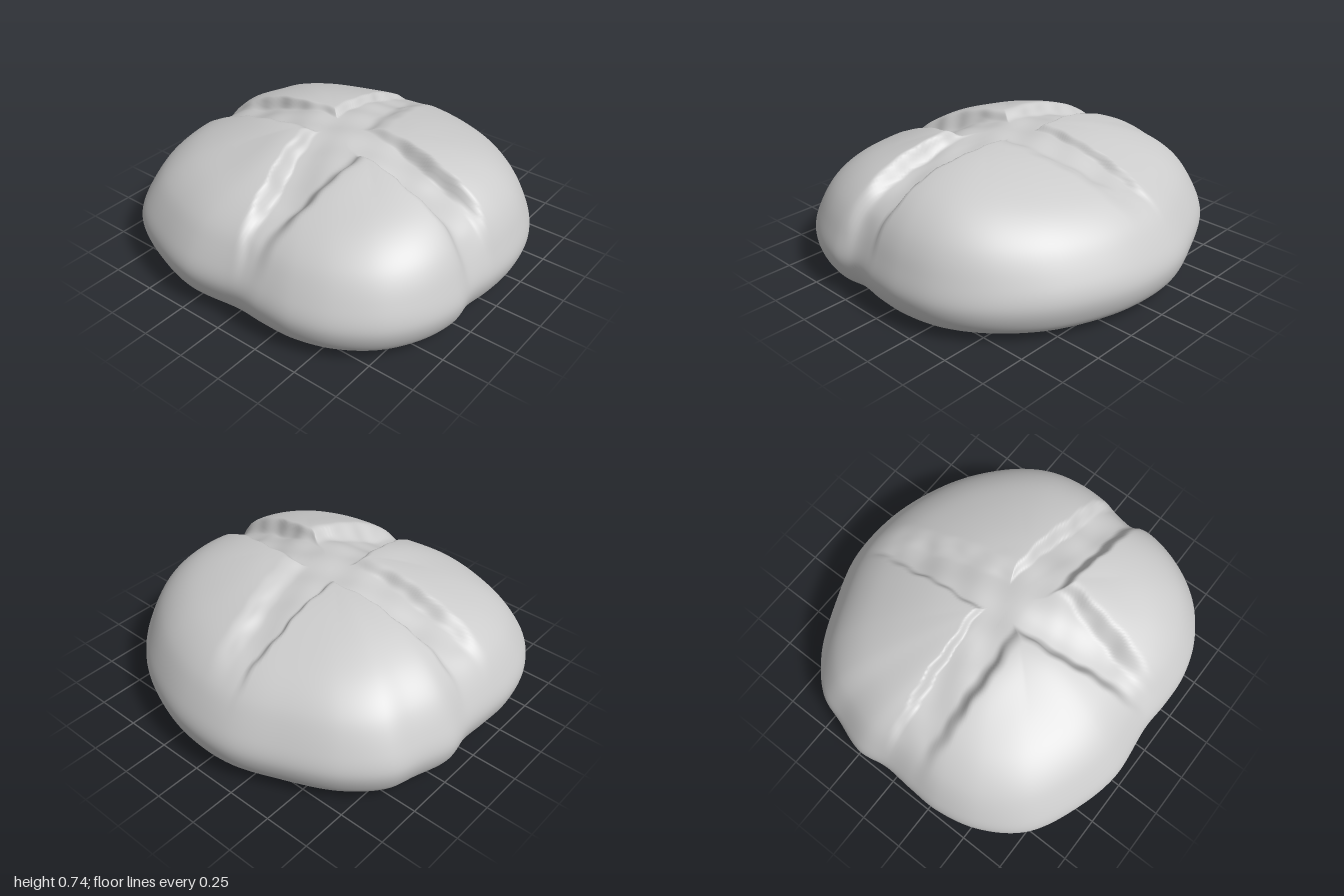
import * as THREE from 'three';

const { smoothstep, lerp, clamp } = THREE.MathUtils;

// Plan outline of the loaf as x, z pairs
const OUTLINE = [
  [-0.16, -0.96], [0.14, -0.96], [0.4, -0.89], [0.62, -0.775], [0.83, -0.575], [0.95, -0.37],
  [0.995, -0.16], [0.99, 0.03], [0.966, 0.2], [0.98, 0.35], [0.93, 0.545], [0.81, 0.73],
  [0.62, 0.866], [0.415, 0.93], [0.22, 0.94], [0.056, 0.935], [-0.265, 0.965], [-0.51, 0.905],
  [-0.785, 0.76], [-0.936, 0.545], [-0.99, 0.32], [-0.985, 0.13], [-0.975, -0.04], [-1, -0.21],
  [-0.946, -0.4], [-0.893, -0.56], [-0.72, -0.73], [-0.43, -0.87],
];

// Section from crown, over the side, to the underside: scale of outline, height
const PROFILE = [
  [0, 0.738], [0.2, 0.735], [0.4, 0.712], [0.6, 0.66], [0.76, 0.588], [0.88, 0.485], [0.96, 0.35],
  [1, 0.22], [0.965, 0.1], [0.89, 0.038], [0.78, 0.014], [0.5, 0.011], [0, 0.008],
];

// Four arms of the scored cross. a/b: the two edges at the centre and at the tip
const ARMS = [
  { axis: 'x', sign: 1, a: [-0.11, 0.03], b: [0.2, 0.28], soft: [0.05, 0.06], length: 1.02, depth: 0.078 },
  { axis: 'x', sign: -1, a: [-0.1, -0.06], b: [0.2, 0.22], soft: [0.035, 0.08], length: 0.98, depth: 0.06 },
  { axis: 'z', sign: 1, a: [-0.16, 0.04], b: [0.34, 0.22], soft: [0.07, 0.1], length: 0.98, depth: 0.085 },
  { axis: 'z', sign: -1, a: [-0.12, -0.17], b: [0.25, 0.06], soft: [0.035, 0.14], length: 0.92, depth: 0.042 },
];

// Depth of the scored cross below the crust
function cutDepth(x, z) {
  let depth = 0;
  for (const arm of ARMS) {
    const t = (arm.axis === 'x' ? x : z) * arm.sign;
    if (t < 0) continue;
    const w = (arm.axis === 'x' ? z : x) + 0.004 * (Math.sin(t * 17 + arm.sign) + Math.sin(t * 41));
    const k = clamp(t / arm.length, 0, 1);
    const lo = lerp(arm.a[0], arm.a[1], k), hi = lerp(arm.b[0], arm.b[1], k);
    const across = smoothstep(w, lo, lo + arm.soft[0]) * (1 - smoothstep(w, hi - arm.soft[1], hi));
    const along = lerp(0.028, arm.depth, smoothstep(t, 0.1, 0.55)) * (1 - smoothstep(t, arm.length - 0.4, arm.length));
    depth = Math.max(depth, across * along);
  }
  return depth;
}

// Raised crust along the edges of the cuts, strongest near the centre
function lip(x, z) {
  const d = Math.min(Math.abs(x - (x > 0.1 ? 0.32 : -0.14)), Math.abs(z - (z > 0.05 ? 0.21 : -0.1)));
  const height = z > 0.05 ? 0.018 : 0.005;
  return height * Math.exp(-((d / 0.15) ** 2)) * (1 - smoothstep(Math.hypot(x, z), 0.25, 0.8));
}

// Fuller shoulder towards +x, flatter ones towards front and back
const shoulder = (s, x, z) => 4 * s * s * (1 - s * s) * (0.03 * Math.max(0, x) ** 2 - 0.03 * z * z);

// Gentle unevenness of the baked crust and the torn floor of the cuts
const lumps = (x, y, z) => 0.005 * Math.sin(5 * x + 2 * z + 1) * Math.cos(4 * z - 3 * y);
const tears = (x, z) => 0.006 * Math.sin(19 * x + 8 * z) * Math.sin(17 * z - 6 * x + 1);

function loafGeometry() {
  const around = 320, steps = 150;
  const outline = new THREE.CatmullRomCurve3(OUTLINE.map(([x, z]) => new THREE.Vector3(x, 0, z)), true)
    .getSpacedPoints(around);
  const profile = new THREE.SplineCurve(PROFILE.map(([s, y]) => new THREE.Vector2(s, y)));
  const positions = [], indices = [];

  for (let i = 0; i <= steps; i++) {
    const p = profile.getPointAt(i / steps);
    const tangent = profile.getTangentAt(i / steps);
    const pole = i === 0 || i === steps;
    const s = pole ? 0 : p.x;
    const upper = smoothstep(p.y, 0.15, 0.42);
    const bulge = smoothstep(p.y, 0.03, 0.15);
    for (let j = 0; j < around; j++) {
      const rim = outline[j];
      const x = rim.x * s, z = rim.z * s;
      const cut = cutDepth(x, z) * upper;
      const inCut = smoothstep(cut, 0.01, 0.03);
      const crust = lip(x, z) * (1 - inCut) + tears(x, z) * inCut + shoulder(s, rim.x, rim.z);
      const offset = upper * crust - cut + bulge * lumps(x, p.y, z);
      // Move each point along the normal of the section
      const scale = pole ? 0 : s - tangent.y * offset;
      positions.push(rim.x * scale, Math.max(0, p.y + tangent.x * offset), rim.z * scale);
      if (i < steps) {
        const a = i * around + j, b = i * around + ((j + 1) % around);
        const c = a + around, d = b + around;
        if (i > 0) indices.push(a, b, c);
        if (i < steps - 1) indices.push(b, d, c);
      }
    }
  }

  const geometry = new THREE.BufferGeometry();
  geometry.setAttribute('position', new THREE.Float32BufferAttribute(positions, 3));
  geometry.setIndex(indices);
  geometry.computeVertexNormals();
  return geometry;
}

export function createModel() {
  const group = new THREE.Group();
  group.name = 'breadLoaf';
  const loaf = new THREE.Mesh(loafGeometry(), new THREE.MeshStandardMaterial({ color: 0xcccccc }));
  loaf.name = 'scoredLoaf';
  group.add(loaf);
  return group;
}
